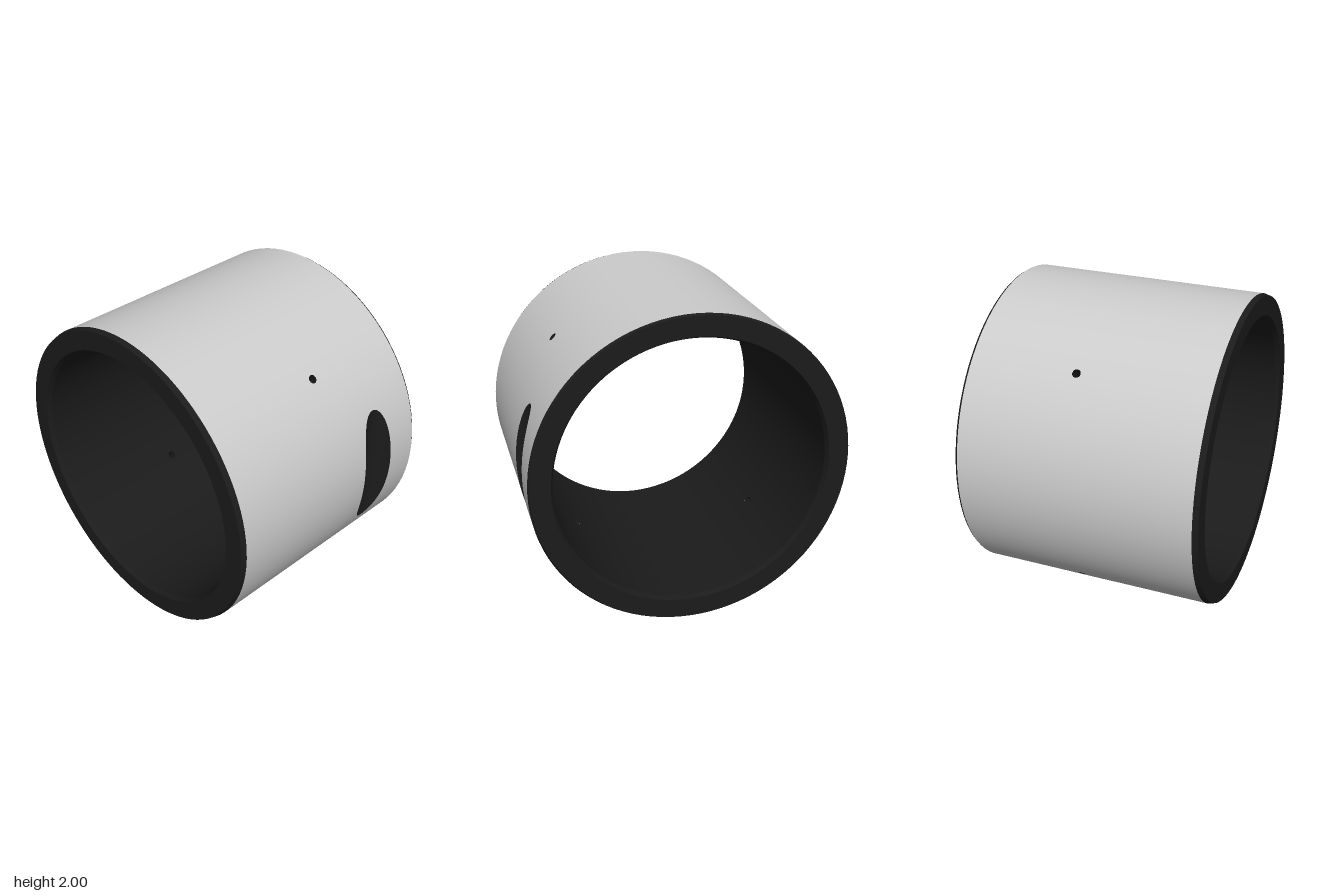
import * as THREE from 'three';
import { ParametricGeometry } from 'three/addons/geometries/ParametricGeometry.js';

const OUTER = 1, BORE = 0.85, SEGS = 96;
const LEFT = -0.77, RIGHT = 0.77;            // end faces
const HOLE_X = 0.08, HOLE_R = 0.026;         // four radial pin holes
const MID0 = -0.12, MID1 = 0.28;             // band that carries the pin holes
const NOTCH_X = 0.42, NOTCH_HALF = 0.122, NOTCH_R = 0.127; // milled front notch
const NOTCH1 = 0.56;
const NOTCH_Z = 1 + Math.sqrt(NOTCH_R ** 2 - NOTCH_HALF ** 2);

const grey = new THREE.MeshStandardMaterial({ color: 0xcccccc });
const dark = new THREE.MeshStandardMaterial({ color: 0x1b1b1b });
const darkInside = new THREE.MeshStandardMaterial({ color: 0x1b1b1b, side: THREE.BackSide });

// Surface of revolution about x between two (radius, x) points
function band(r0, x0, r1, x1, start = 0, length = Math.PI * 2) {
  const segs = Math.round(SEGS * length / (Math.PI * 2));
  const pts = [new THREE.Vector2(r0, x0), new THREE.Vector2(r1, x1)];
  return new THREE.LatheGeometry(pts, segs, start, length).rotateZ(-Math.PI / 2);
}

// Quarter-turn cylinder patch with an opening; outline(t) gives [x, angle]
function openPatch(radius, x0, x1, centre, outline) {
  const cx = (x0 + x1) / 2, hx = (x1 - x0) / 2, ha = Math.PI / 4;
  return new ParametricGeometry((u, v, p) => {
    const side = Math.min(3, Math.floor(u * 4)), f = (u * 4 - side) * 2 - 1;
    const rim = [[-f, 1], [-1, -f], [f, -1], [1, f]][side];
    const [ox, oa] = outline(Math.PI / 4 + u * Math.PI * 2);
    const x = THREE.MathUtils.lerp(cx + rim[0] * hx, ox, v);
    const a = centre + THREE.MathUtils.lerp(rim[1] * ha, oa, v);
    p.set(x, radius * Math.sin(a), radius * Math.cos(a));
  }, SEGS, 12);
}

const notchDepth = (dx) => NOTCH_Z - Math.sqrt(NOTCH_R ** 2 - dx * dx);
const notchHeight = (z) => Math.sqrt(Math.max(0, 1 - z * z));

export function createModel() {
  const model = new THREE.Group();
  model.name = 'sleeve';
  const add = (name, geometry, material) => {
    const mesh = new THREE.Mesh(geometry, material);
    mesh.name = name;
    model.add(mesh);
    return mesh;
  };

  // Outer wall, split around the band of holes and the notch
  add('outerWallLeft', band(OUTER, -0.735, OUTER, MID0), grey);
  add('outerWallNotchBand', band(OUTER, MID1, OUTER, NOTCH1, Math.PI / 4, Math.PI * 1.5), grey);
  add('outerWallRight', band(OUTER, NOTCH1, OUTER, 0.755), grey);

  // Chamfered ends and bore
  add('leftOuterChamfer', band(0.99, LEFT, OUTER, -0.735), dark);
  add('leftEndFace', band(0.865, LEFT, 0.99, LEFT), dark);
  add('leftInnerChamfer', band(BORE, -0.74, 0.865, LEFT), dark);
  add('rightOuterChamfer', band(OUTER, 0.755, 0.99, RIGHT), dark);
  add('rightEndFace', band(0.99, RIGHT, 0.865, RIGHT), dark);
  add('rightInnerChamfer', band(0.865, RIGHT, BORE, 0.74), dark);
  add('boreRight', band(BORE, 0.74, BORE, MID1), dark);
  add('boreLeft', band(BORE, MID0, BORE, -0.74), dark);

  // Four pin holes drilled through the wall at 45 degrees
  for (let i = 0; i < 4; i++) {
    const angle = Math.PI / 4 + i * Math.PI / 2;
    const outline = (r) => (t) =>
      [HOLE_X + HOLE_R * Math.cos(t), Math.asin(HOLE_R * Math.sin(t) / r)];
    add('outerWallPinHole', openPatch(OUTER, MID0, MID1, angle, outline(OUTER)), grey);
    add('borePinHole', openPatch(BORE, MID0, MID1, angle, outline(BORE)), darkInside);
    const wall = add('pinHoleWall',
      new THREE.CylinderGeometry(HOLE_R, HOLE_R, OUTER - BORE, 32, 1, true), darkInside);
    const mid = (OUTER + BORE) / 2;
    wall.position.set(HOLE_X, mid * Math.sin(angle), mid * Math.cos(angle));
    wall.rotation.x = Math.PI / 2 - angle;
  }

  // Front notch: wall opening plus a round-bottomed floor running along y
  add('outerWallNotch', openPatch(OUTER, MID1, NOTCH1, 0, (t) => {
    const dx = NOTCH_HALF * Math.cos(t), z = notchDepth(dx);
    return [NOTCH_X + dx, Math.sign(Math.sin(t)) * Math.atan2(notchHeight(z), z)];
  }), grey);
  add('notchFloor', new ParametricGeometry((u, v, p) => {
    const dx = -NOTCH_HALF * Math.cos(u * Math.PI), z = notchDepth(dx);
    p.set(NOTCH_X + dx, (v * 2 - 1) * Math.max(1e-3, notchHeight(z)), z);
  }, SEGS / 2, 4), dark);

  model.position.y = OUTER;
  return model;
}
